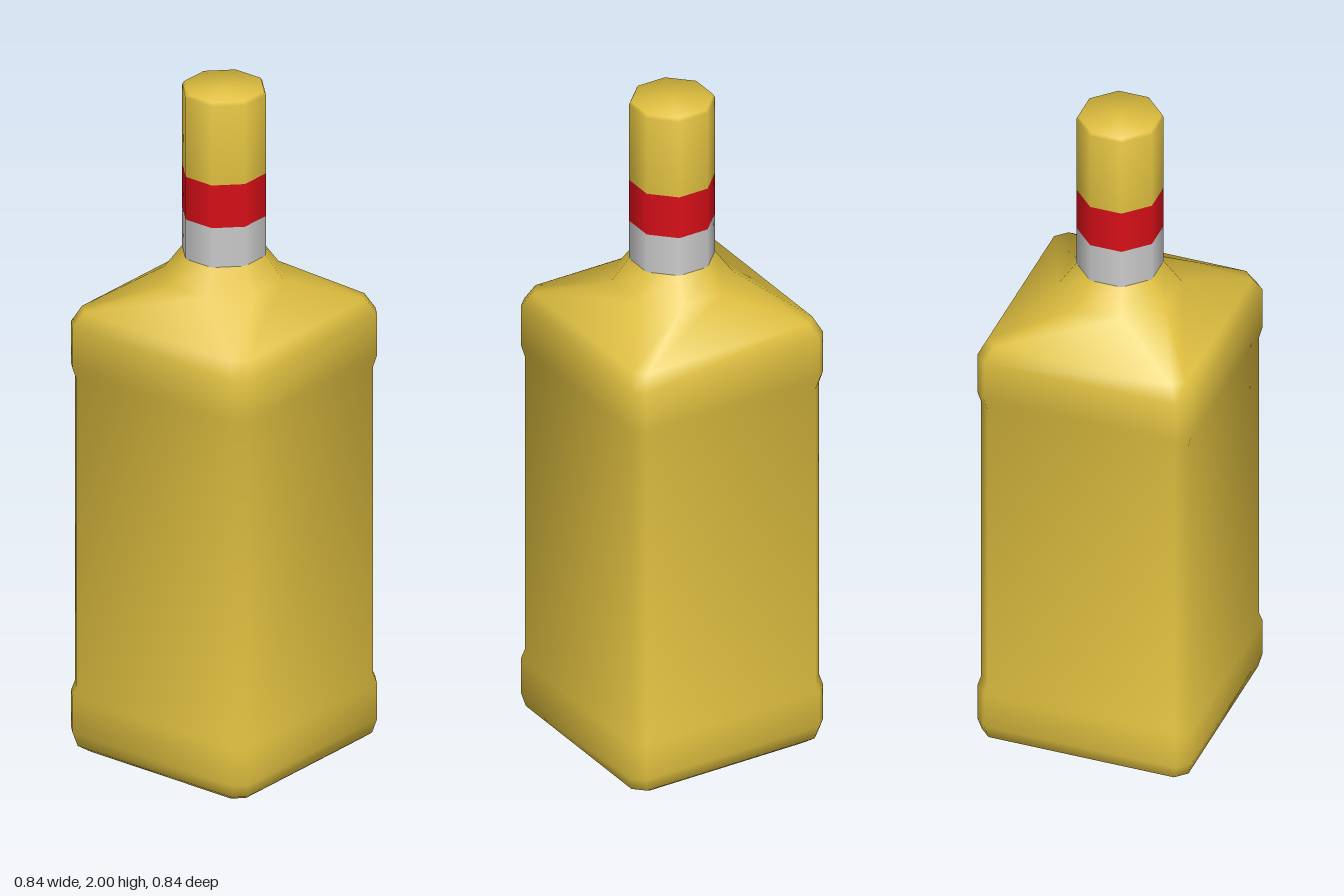
import * as THREE from 'three';

const TURN = THREE.MathUtils.degToRad(-9.25); // the bottle stands turned on its axis
const QUARTER = Math.PI / 2;

// Skin eight-sided rings [radius, half angle of the corner cut in degrees, y].
// 22.5 degrees gives a regular octagon, small angles a square with cut corners.
function loft(rings) {
  const flat = rings.map(([r, a, y]) => new THREE.Vector2(r * Math.cos(THREE.MathUtils.degToRad(45 - a)), y));
  const slopes = flat.slice(1).map((p, i) => new THREE.Vector2(p.y - flat[i].y, flat[i].x - p.x).normalize());
  const positions = [], normals = [], index = [];
  rings.forEach(([r, a, y], row) => {
    // smooth normal shared by the bands above and below
    const n = slopes[Math.max(row - 1, 0)].clone().add(slopes[Math.min(row, slopes.length - 1)]).normalize();
    for (let k = 0; k < 8; k++) {
      const corner = TURN + Math.floor(k / 2) * QUARTER;
      const side = k % 2 ? 1 : -1;
      const angle = corner + side * THREE.MathUtils.degToRad(a);
      const facing = corner + side * Math.PI / 8;
      positions.push(r * Math.cos(angle), y, r * Math.sin(angle));
      normals.push(n.x * Math.cos(facing), n.y, n.x * Math.sin(facing));
      if (row < rings.length - 1) {
        const i = row * 8 + k, j = row * 8 + (k + 1) % 8;
        index.push(i, i + 8, j, j, i + 8, j + 8);
      }
    }
  });
  const geometry = new THREE.BufferGeometry();
  geometry.setAttribute('position', new THREE.Float32BufferAttribute(positions, 3));
  geometry.setAttribute('normal', new THREE.Float32BufferAttribute(normals, 3));
  geometry.setIndex(index);
  return geometry;
}

export function createModel() {
  const group = new THREE.Group();
  group.name = 'bottle';
  const gold = new THREE.MeshStandardMaterial({ color: 0xe0c040 });
  const red = new THREE.MeshStandardMaterial({ color: 0xd80f18 });
  const grey = new THREE.MeshStandardMaterial({ color: 0xcccccc });

  const add = (name, material, rings) => {
    const mesh = new THREE.Mesh(loft(rings), material);
    mesh.name = name;
    group.add(mesh);
  };

  // square body with raised bands at foot and shoulder
  add('body', gold, [
    [0, 3, 0],
    [0.375, 3.2, 0],
    [0.411, 3.1, 0.02],
    [0.425, 3, 0.06],
    [0.425, 3, 0.17],
    [0.414, 3, 0.2],
    [0.414, 3, 1.135],
    [0.425, 3, 1.17],
    [0.425, 3, 1.295],
    [0.394, 3.2, 1.34],
    [0.172, 22.5, 1.43],
    [0.121, 22.5, 1.5],
  ]);

  // neck bands
  add('neck', grey, [[0.121, 22.5, 1.5], [0.121, 22.5, 1.62]]);
  add('neckBand', red, [[0.121, 22.5, 1.62], [0.121, 22.5, 1.75]]);

  // stopper with a small bevel round the top
  add('cap', gold, [
    [0.121, 22.5, 1.75],
    [0.121, 22.5, 1.99],
    [0.116, 22.5, 2],
    [0, 22.5, 2],
  ]);

  return group;
}
